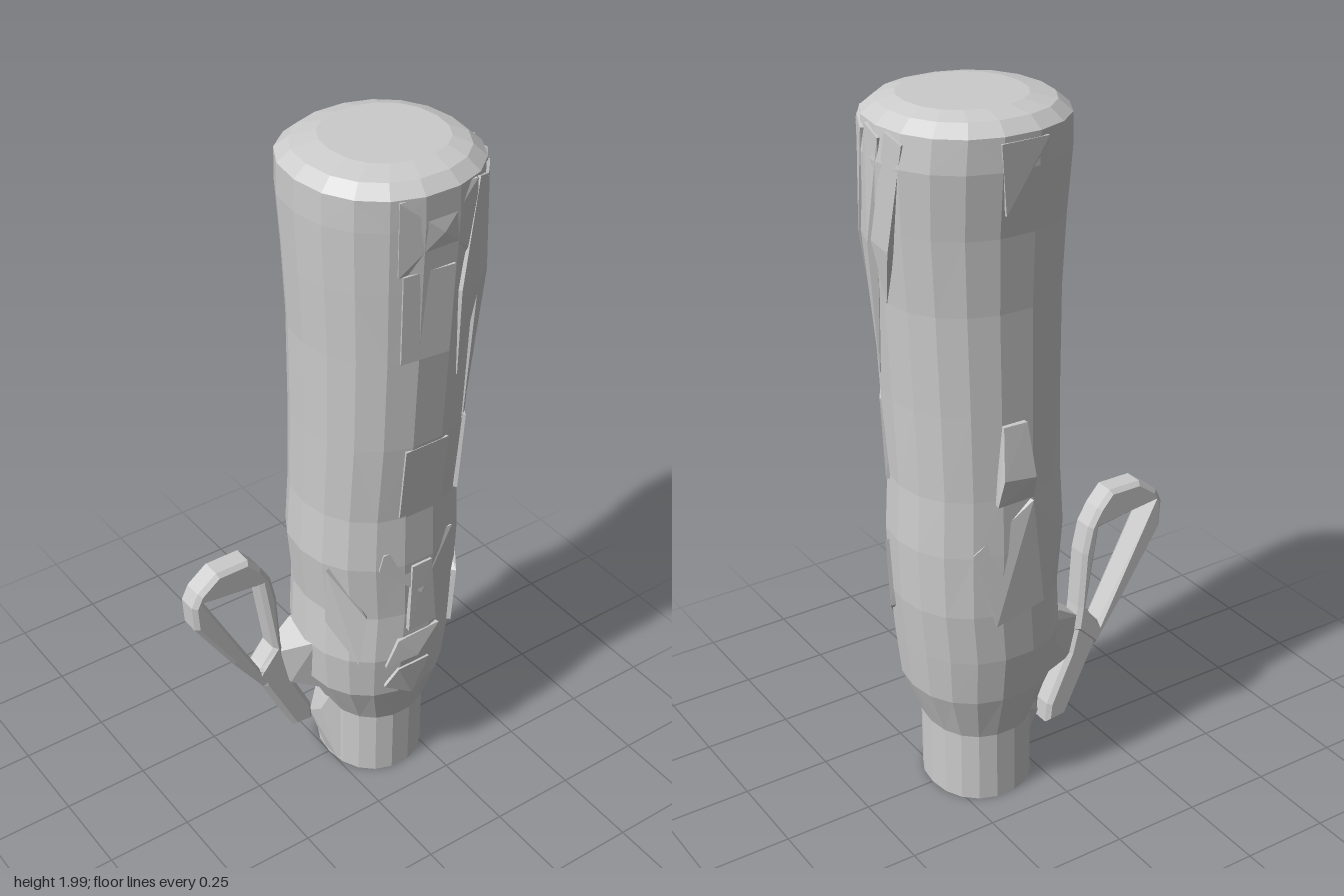
import * as THREE from 'three';
import { ConvexGeometry } from 'three/addons/geometries/ConvexGeometry.js';

const material = new THREE.MeshStandardMaterial({ color: 0xcccccc, flatShading: true });

// Body sections: y, xMin, xMax, zMin, zMax
const sections = [
  [0.01, 0.0, 0.29, -0.16, 0.16],
  [0.22, 0.0, 0.29, -0.16, 0.16],
  [0.36, -0.07, 0.345, -0.2, 0.205],
  [0.5, -0.085, 0.36, -0.22, 0.22],
  [0.65, -0.075, 0.375, -0.225, 0.215],
  [0.83, -0.095, 0.38, -0.225, 0.22],
  [0.99, -0.085, 0.37, -0.22, 0.215],
  [1.23, -0.085, 0.375, -0.22, 0.235],
  [1.5, -0.09, 0.385, -0.22, 0.245],
  [1.7, -0.1, 0.4, -0.23, 0.25],
  [1.87, -0.107, 0.41, -0.25, 0.255],
  [1.955, -0.105, 0.4, -0.25, 0.255],
  [1.985, -0.07, 0.365, -0.215, 0.22],
  [2.0, 0.0, 0.32, -0.16, 0.16],
];

// Point on the body at an angle (0 = +x, 90 = front) and height, moved outward
function bodyPoint(degrees, y, out = 0) {
  let i = 0;
  while (i < sections.length - 2 && sections[i + 1][0] < y) i++;
  const lower = sections[i], upper = sections[i + 1];
  const t = THREE.MathUtils.clamp((y - lower[0]) / (upper[0] - lower[0]), 0, 1);
  const [x0, x1, z0, z1] = [1, 2, 3, 4].map(k => THREE.MathUtils.lerp(lower[k], upper[k], t));
  const a = THREE.MathUtils.degToRad(degrees), c = Math.cos(a), s = Math.sin(a);
  const round = v => Math.sign(v) * Math.pow(Math.abs(v), 0.92);
  return new THREE.Vector3(
    (x0 + x1) / 2 + ((x1 - x0) / 2) * round(c) + out * c, y,
    (z0 + z1) / 2 + ((z1 - z0) / 2) * round(s) + out * s);
}

function loftBody() {
  const sides = 18, positions = [], index = [];
  for (const [y] of sections) {
    for (let j = 0; j < sides; j++) positions.push(...bodyPoint((j * 360) / sides, y));
  }
  for (let i = 0; i < sections.length - 1; i++) {
    for (let j = 0; j < sides; j++) {
      const a = i * sides + j, b = i * sides + (j + 1) % sides, c = a + sides, d = b + sides;
      // alternate diagonals for a hand-cut look
      if ((i + j) % 2) index.push(a, c, b, b, c, d);
      else index.push(a, c, d, a, d, b);
    }
  }
  const last = (sections.length - 1) * sides;
  for (let j = 1; j < sides - 1; j++) {
    index.push(0, j, j + 1, last, last + j + 1, last + j);
  }
  const geometry = new THREE.BufferGeometry();
  geometry.setAttribute('position', new THREE.Float32BufferAttribute(positions, 3));
  geometry.setIndex(index);
  return geometry;
}

// Shallow chiselled facet: corners are [degrees, y, outward offset]
function carvedFacet(corners) {
  const points = [];
  for (const [deg, y, out] of corners) {
    points.push(bodyPoint(deg, y, out), bodyPoint(deg, y, -0.04));
  }
  return new ConvexGeometry(points);
}

function slab(outline, hole, zMin, zMax) {
  const shape = new THREE.Shape(outline.map(p => new THREE.Vector2(...p)));
  if (hole) shape.holes.push(new THREE.Path(hole.map(p => new THREE.Vector2(...p))));
  const bevel = 0.012;
  const geometry = new THREE.ExtrudeGeometry(shape, {
    depth: zMax - zMin - 2 * bevel, bevelEnabled: true, bevelThickness: bevel,
    bevelSize: bevel, bevelOffset: -bevel, bevelSegments: 1,
  });
  return geometry.translate(0, 0, zMin + bevel);
}

export function createModel() {
  const model = new THREE.Group();
  const add = (parent, name, geometry) => {
    const mesh = new THREE.Mesh(geometry, material);
    mesh.name = name;
    parent.add(mesh);
  };
  add(model, 'body', loftBody());

  // Carved features, each a list of surface corners
  const features = {
    forehead: [[65, 1.75, 0.006], [115, 1.75, 0.006], [65, 1.95, 0.004], [115, 1.95, 0.004], [90, 1.85, 0.006]],
    frontPanel: [[82, 1.5, 0.008], [112, 1.5, 0.008], [82, 1.75, 0.006], [112, 1.75, 0.006]],
    chestPanel: [[75, 1.0, 0.006], [105, 1.0, 0.006], [75, 1.22, 0.006], [105, 1.22, 0.006]],
    brow: [[58, 0.75, 0.008], [90, 0.72, 0.012], [118, 0.83, 0.006], [60, 0.88, 0.006], [115, 0.88, 0.004]],
    nose: [[78, 0.6, 0.015], [98, 0.6, 0.015], [82, 0.82, 0.006], [95, 0.82, 0.006]],
    mouth: [[65, 0.48, 0.008], [112, 0.48, 0.008], [72, 0.57, 0.01], [104, 0.57, 0.01], [90, 0.5, 0.014]],
    chin: [[68, 0.4, 0.008], [112, 0.4, 0.008], [90, 0.34, 0.012], [78, 0.46, 0.008], [102, 0.46, 0.008]],
    leftCheek: [[12, 0.6, 0.012], [45, 0.5, 0.01], [48, 0.68, 0.012], [15, 0.8, 0.008]],
    rightCheek: [[132, 0.5, 0.01], [160, 0.62, 0.008], [128, 0.66, 0.01], [155, 0.82, 0.012]],
    leftTemple: [[15, 0.98, 0.008], [50, 0.98, 0.008], [20, 1.2, 0.004], [48, 1.22, 0.006]],
    backKnob: [[262, 0.98, 0.012], [285, 0.98, 0.02], [264, 1.05, 0.035], [282, 1.06, 0.035], [266, 1.2, 0.012], [280, 1.2, 0.012]],
    backRidge: [[235, 0.84, 0.01], [300, 0.84, 0.004], [262, 0.97, 0.012], [285, 0.62, 0.008], [250, 0.65, 0.008]],
    backCrown: [[258, 1.72, 0.006], [278, 1.76, 0.01], [255, 1.94, 0.006], [282, 1.94, 0.006]],
  };
  const carving = new THREE.Group();
  carving.name = 'carving';
  model.add(carving);
  for (const [name, corners] of Object.entries(features)) add(carving, name, carvedFacet(corners));

  // Slanting locks of hair on the left and front-left
  for (let i = 0; i < 5; i++) {
    const top = -22 + i * 18, bottom = top + 20, drop = [1.5, 1.28, 1.42, 1.22, 1.4][i];
    add(carving, 'hairLock', carvedFacet([
      [top, 1.93, 0.006], [top + 13, 1.95, 0.006], [bottom, drop, 0.0],
      [bottom - 10, 1.65, 0.016], [bottom + 6, 1.66, 0.01],
    ]));
  }

  // Side loop with a hanging strap and the lug that joins it to the body
  const loop = new THREE.Group();
  loop.name = 'sideLoop';
  model.add(loop);
  add(loop, 'ring', slab(
    [[-0.2, 0.35], [-0.13, 0.42], [-0.14, 0.49], [-0.152, 0.66], [-0.17, 0.74], [-0.2, 0.79],
      [-0.24, 0.835], [-0.34, 0.835], [-0.4, 0.79], [-0.42, 0.75], [-0.415, 0.67], [-0.3, 0.49]],
    [[-0.385, 0.755], [-0.205, 0.73], [-0.165, 0.48], [-0.21, 0.42]], -0.105, -0.03));
  add(loop, 'strap', slab(
    [[-0.22, 0.42], [-0.2, 0.35], [-0.1, 0.145], [-0.035, 0.14], [-0.04, 0.2], [-0.11, 0.35], [-0.14, 0.46]],
    null, -0.1, -0.03));
  add(loop, 'lug', new ConvexGeometry([
    [-0.145, 0.46, -0.09], [-0.145, 0.46, -0.035], [-0.12, 0.34, -0.09], [-0.12, 0.34, -0.02],
    [-0.07, 0.51, -0.1], [-0.07, 0.51, 0.04], [0.02, 0.5, -0.12], [0.02, 0.5, 0.06],
    [0.03, 0.27, -0.08], [0.03, 0.27, 0.04],
  ].map(p => new THREE.Vector3(...p))));

  // Narrow wedge between neck and strap
  add(model, 'neckWedge', new ConvexGeometry([
    [0.0, 0.02, -0.02], [0.0, 0.02, 0.04], [-0.035, 0.16, -0.05], [-0.03, 0.2, 0.0],
    [0.0, 0.31, -0.05], [0.0, 0.31, 0.04], [0.05, 0.02, 0.1], [0.05, 0.25, 0.1], [0.05, 0.22, -0.09],
  ].map(p => new THREE.Vector3(...p))));
  return model;
}
